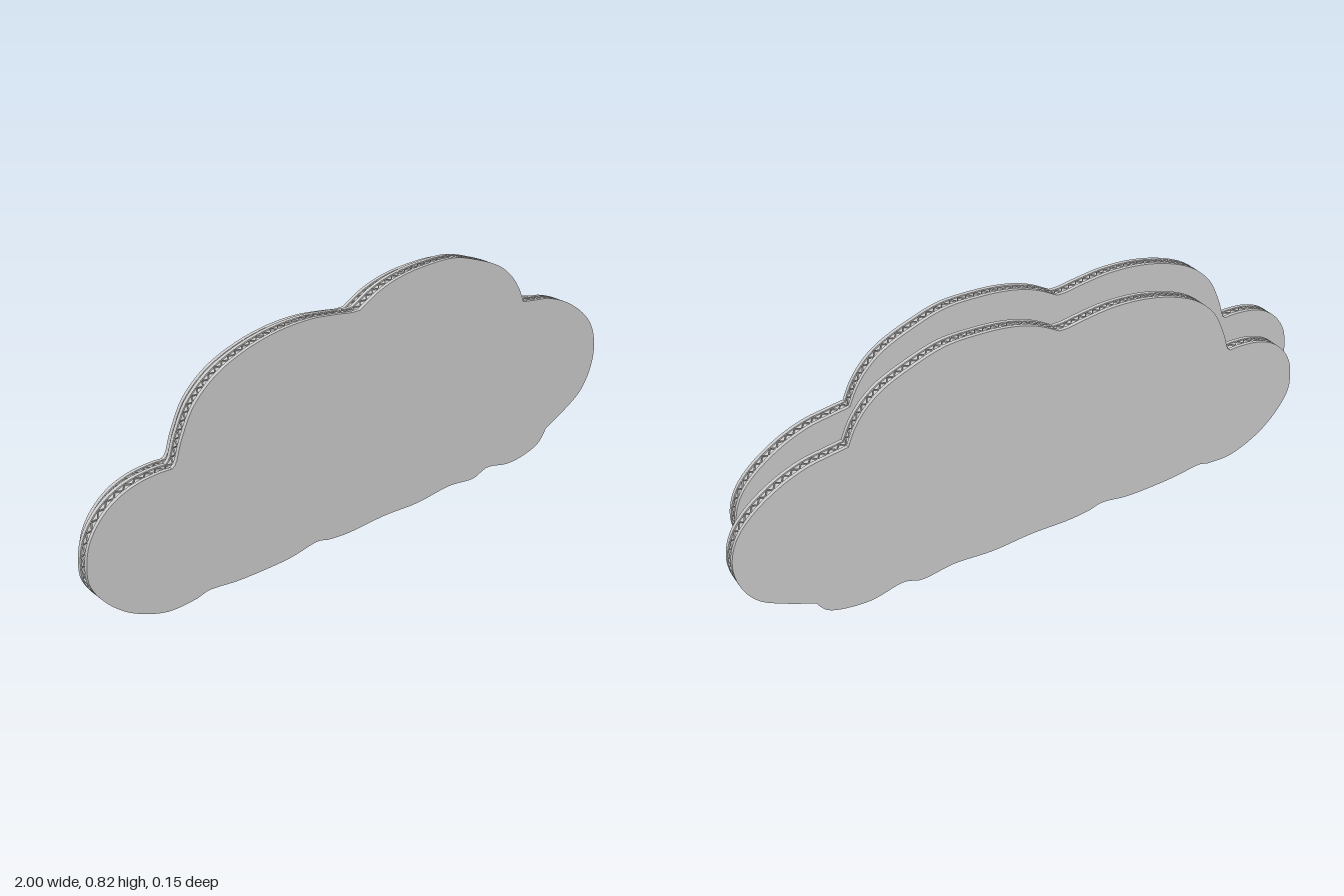
import * as THREE from 'three';
import { toCreasedNormals } from 'three/addons/utils/BufferGeometryUtils.js';

// Cloud outline, clockwise from the left notch, one smooth run per list.
// Coordinates run from 0 to 1 across the cloud's width and height.
const RUNS = [
  [[0.14, 0.545], [0.147, 0.565], [0.158, 0.645], [0.18, 0.75], [0.218, 0.835], [0.267, 0.89], [0.322, 0.922],
    [0.377, 0.93], [0.424, 0.918], [0.455, 0.906], [0.471, 0.906]],
  [[0.471, 0.906], [0.507, 0.955], [0.548, 0.986], [0.598, 1], [0.658, 0.997], [0.713, 0.955], [0.755, 0.908],
    [0.782, 0.855], [0.802, 0.79], [0.815, 0.72]],
  [[0.815, 0.72], [0.843, 0.71], [0.879, 0.694], [0.92, 0.652], [0.961, 0.582], [0.989, 0.498], [1, 0.393],
    [0.992, 0.288], [0.97, 0.204], [0.934, 0.147], [0.887, 0.09]],
  [[0.887, 0.09], [0.87, 0.036], [0.837, 0.008], [0.796, 0], [0.747, 0.024], [0.713, 0], [0.658, 0.014], [0.59, 0],
    [0.52, 0.007], [0.452, 0], [0.41, 0.007], [0.383, 0.021], [0.328, 0], [0.245, 0], [0.19, 0.014], [0.163, 0],
    [0.116, 0], [0.066, 0.049], [0.03, 0.12], [0.006, 0.204], [0, 0.274], [0.006, 0.372], [0.025, 0.45],
    [0.052, 0.506], [0.085, 0.537], [0.12, 0.547], [0.14, 0.545]]
];
const STEPS = [64, 60, 58, 140];

function outline(x, y, width, height) {
  return RUNS.flatMap((run, i) => {
    const pts = run.map(([u, v]) => new THREE.Vector2(x + u * width, y + v * height));
    return new THREE.SplineCurve(pts).getSpacedPoints(STEPS[i]).slice(0, -1);
  });
}

// Moves every outline point inwards along its normal
function inset(pts, d) {
  const n = pts.length;
  return pts.map((p, i) => {
    const t = pts[(i + 1) % n].clone().sub(pts[(i + n - 1) % n]).normalize();
    return new THREE.Vector2(p.x + t.y * d, p.y - t.x * d);
  });
}

function slab(pts, z0, z1) {
  const geo = new THREE.ExtrudeGeometry(new THREE.Shape(pts), { depth: z1 - z0, bevelEnabled: false });
  geo.translate(0, 0, z0);
  return toCreasedNormals(geo, 0.5);
}

// Zigzag strip that runs round the rim between the liners
function fluting(pts, z, amplitude, depth, half) {
  const inner = inset(pts, depth), n = pts.length, pos = [], index = [];
  for (let i = 0; i < n; i++) {
    const zi = z + (i % 2 ? amplitude : -amplitude), a = inner[i], b = pts[i];
    pos.push(a.x, a.y, zi - half, b.x, b.y, zi - half, b.x, b.y, zi + half, a.x, a.y, zi + half);
    for (let k = 0; k < 4; k++) {
      const j = ((i + 1) % n) * 4, l = (k + 1) % 4;
      index.push(i * 4 + k, i * 4 + l, j + k, i * 4 + l, j + l, j + k);
    }
  }
  const geo = new THREE.BufferGeometry();
  geo.setAttribute('position', new THREE.Float32BufferAttribute(pos, 3));
  geo.setIndex(index);
  const flat = geo.toNonIndexed();
  flat.computeVertexNormals();
  return flat;
}

export function createModel() {
  const model = new THREE.Group();
  model.name = 'cloudPanels';
  const grey = new THREE.MeshStandardMaterial({ color: 0xcccccc });
  grey.name = 'grey board';

  const add = (parent, name, geo) => {
    const mesh = new THREE.Mesh(geo, grey);
    mesh.name = name;
    parent.add(mesh);
  };

  // A board: two liners, a slightly recessed core and the fluting on its rim
  const board = (name, x, y, z) => {
    const group = new THREE.Group();
    group.name = name;
    const pts = outline(x, y, 1.94, 0.767);
    add(group, 'frontLiner', slab(pts, z + 0.0105, z + 0.022));
    add(group, 'backLiner', slab(pts, z - 0.022, z - 0.0105));
    add(group, 'core', slab(inset(pts, 0.004), z - 0.0105, z + 0.0105));
    add(group, 'fluting', fluting(pts, z, 0.0085, 0.006, 0.002));
    model.add(group);
  };
  board('frontCloud', -1, 0.05, 0.052);
  board('backCloud', -0.94, 0.003, -0.052);

  // Smaller cloud that holds the two boards apart
  add(model, 'spacer', slab(outline(-0.6, 0.24, 1.32, 0.337), -0.03, 0.03));
  return model;
}
